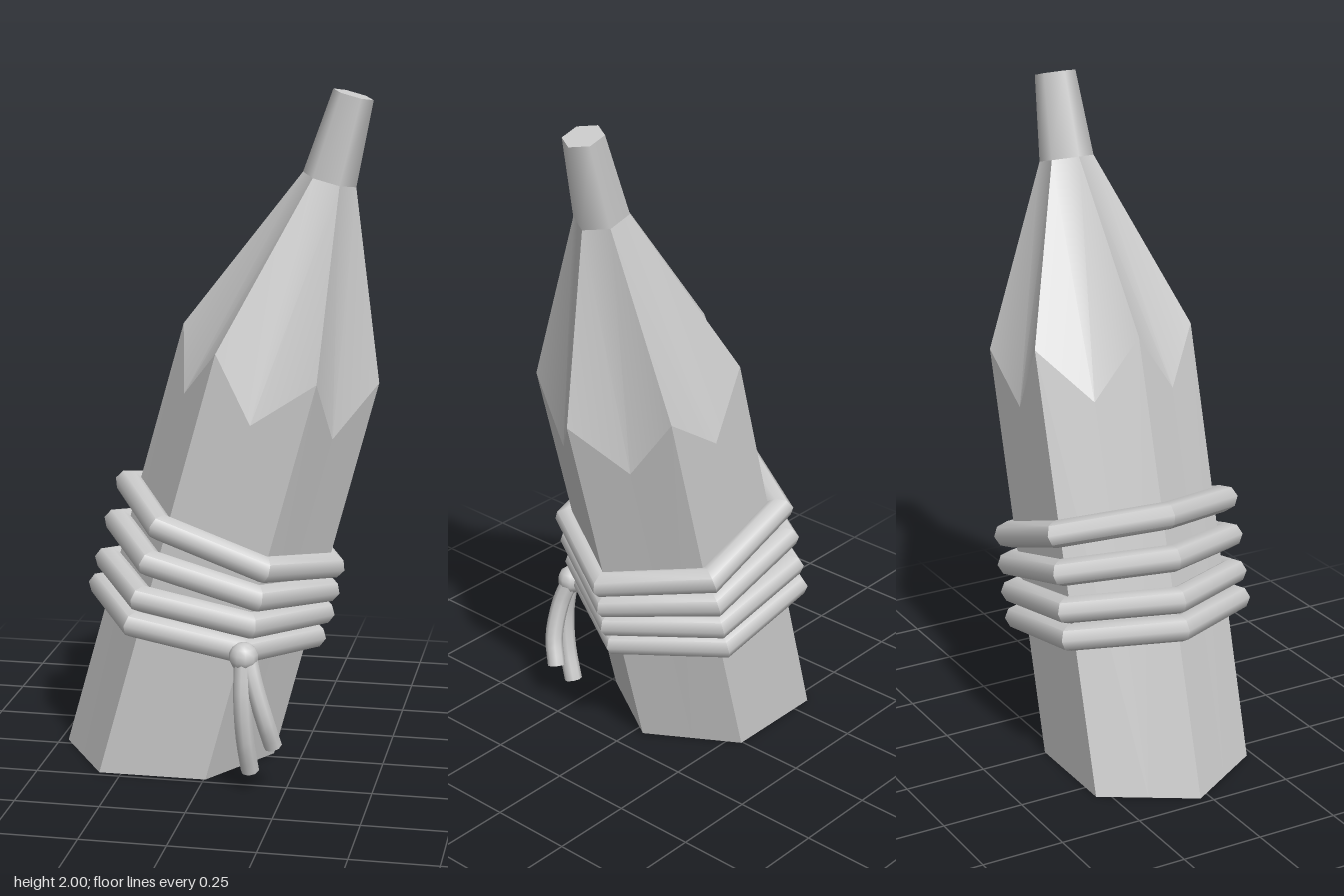
import * as THREE from 'three';
import { toCreasedNormals } from 'three/addons/utils/BufferGeometryUtils.js';

const V = (x, y, z) => new THREE.Vector3(x, y, z);
const LEAN = 0.265, CENTER_Z = -0.03;
const material = new THREE.MeshStandardMaterial({ color: 0xcccccc });

function addMesh(parent, name, geometry) {
  const mesh = new THREE.Mesh(geometry, material);
  mesh.name = name;
  parent.add(mesh);
  return mesh;
}

// Skin between successive rings of points, with alternating diagonals
function loft(rings, crease, capStart = false) {
  const pts = [];
  for (let i = 0; i < rings.length - 1; i++) {
    const lo = rings[i], up = rings[i + 1], n = lo.length;
    for (let k = 0; k < n; k++) {
      const a = lo[k], b = up[k], c = lo[(k + 1) % n], d = up[(k + 1) % n];
      if (k % 2 === 0) pts.push(a, b, c, c, b, d);
      else pts.push(a, b, d, a, d, c);
    }
  }
  if (capStart) {
    const r = rings[0];
    for (let k = 1; k < r.length - 1; k++) pts.push(r[0], r[k], r[k + 1]);
  }
  const geometry = new THREE.BufferGeometry().setFromPoints(pts);
  geometry.computeVertexNormals();
  return crease ? toCreasedNormals(geometry, crease) : geometry;
}

// Hexagon with a point in the middle of each side: 12 points
function hexRing(radius, height, stretchX = 1) {
  return Array.from({ length: 12 }, (_, k) => {
    const r = k % 2 ? radius * Math.cos(Math.PI / 6) : radius;
    const x = r * Math.cos(k * Math.PI / 6) * stretchX;
    return V(x, height(x, k), r * Math.sin(k * Math.PI / 6));
  });
}

// Hexagonal rope loop with mitred corners, from its left and right corner
function ropeLoop([x0, y0, x1, y1]) {
  const c = V((x0 + x1) / 2, (y0 + y1) / 2, CENTER_Z);
  const hx = (x1 - x0) / 2, hy = (y1 - y0) / 2, r = 0.04;
  const normal = V(-hy, hx, 0).normalize();
  const rings = [];
  for (let k = 0; k <= 6; k++) {
    const u = Math.cos(k * Math.PI / 3), w = Math.sin(k * Math.PI / 3);
    const offset = V(hx * u, hy * u, 0.323 * w);
    const out = offset.clone().normalize().multiplyScalar(r / Math.cos(Math.PI / 6));
    rings.push(Array.from({ length: 8 }, (_, j) => {
      const a = -j * Math.PI / 4;
      return c.clone().add(offset).addScaledVector(out, Math.cos(a))
        .addScaledVector(normal, r * Math.sin(a));
    }));
  }
  return loft(rings, 0.9);
}

export function createModel() {
  const model = new THREE.Group();
  model.name = 'leaningStake';

  // Leaning hexagonal stake, cut level with the ground
  const stake = new THREE.Group();
  stake.name = 'stake';
  stake.position.set(-0.155, 0, CENTER_Z);
  stake.rotation.z = -LEAN;
  model.add(stake);

  const foot = hexRing(0.3, x => x * Math.tan(LEAN), 1.03);
  const shoulder = hexRing(0.3, (x, k) => (k % 2 ? 1.107 : 1.277));
  const neck = hexRing(0.08, () => 1.805);
  addMesh(stake, 'shaft', loft([foot, shoulder], 0, true));
  addMesh(stake, 'sharpenedCone', loft([shoulder, neck], 0.42));

  // Blunt tip
  const tip = new THREE.CylinderGeometry(0.06, 0.08, 0.252, 6, 1, false, Math.PI / 2);
  addMesh(stake, 'tip', tip).position.y = 1.931;

  // Rope wrapped four times: left x, left y, right x, right y
  const rope = new THREE.Group();
  rope.name = 'rope';
  model.add(rope);
  [
    [-0.36, 0.5, 0.275, 0.38],
    [-0.34, 0.58, 0.3, 0.455],
    [-0.31, 0.7, 0.315, 0.525],
    [-0.275, 0.82, 0.33, 0.6],
  ].forEach((ends, i) => addMesh(rope, `ropeLoop${i + 1}`, ropeLoop(ends)));

  // Knot with two hanging tails
  addMesh(rope, 'knot', new THREE.SphereGeometry(0.043, 10, 7)).position.set(0.13, 0.405, 0.295);
  [
    [V(0.13, 0.41, 0.3), V(0.132, 0.28, 0.322), V(0.138, 0.16, 0.312), V(0.147, 0.058, 0.28)],
    [V(0.14, 0.41, 0.29), V(0.163, 0.33, 0.312), V(0.196, 0.22, 0.312), V(0.215, 0.138, 0.285)],
  ].forEach((points, i) => {
    const curve = new THREE.CatmullRomCurve3(points);
    addMesh(rope, `ropeTail${i + 1}`, new THREE.TubeGeometry(curve, 10, 0.027, 8));
    const end = addMesh(rope, `ropeTailEnd${i + 1}`, new THREE.CircleGeometry(0.027, 8));
    end.position.copy(points[3]);
    end.lookAt(points[3].clone().add(curve.getTangent(1)));
  });

  return model;
}
